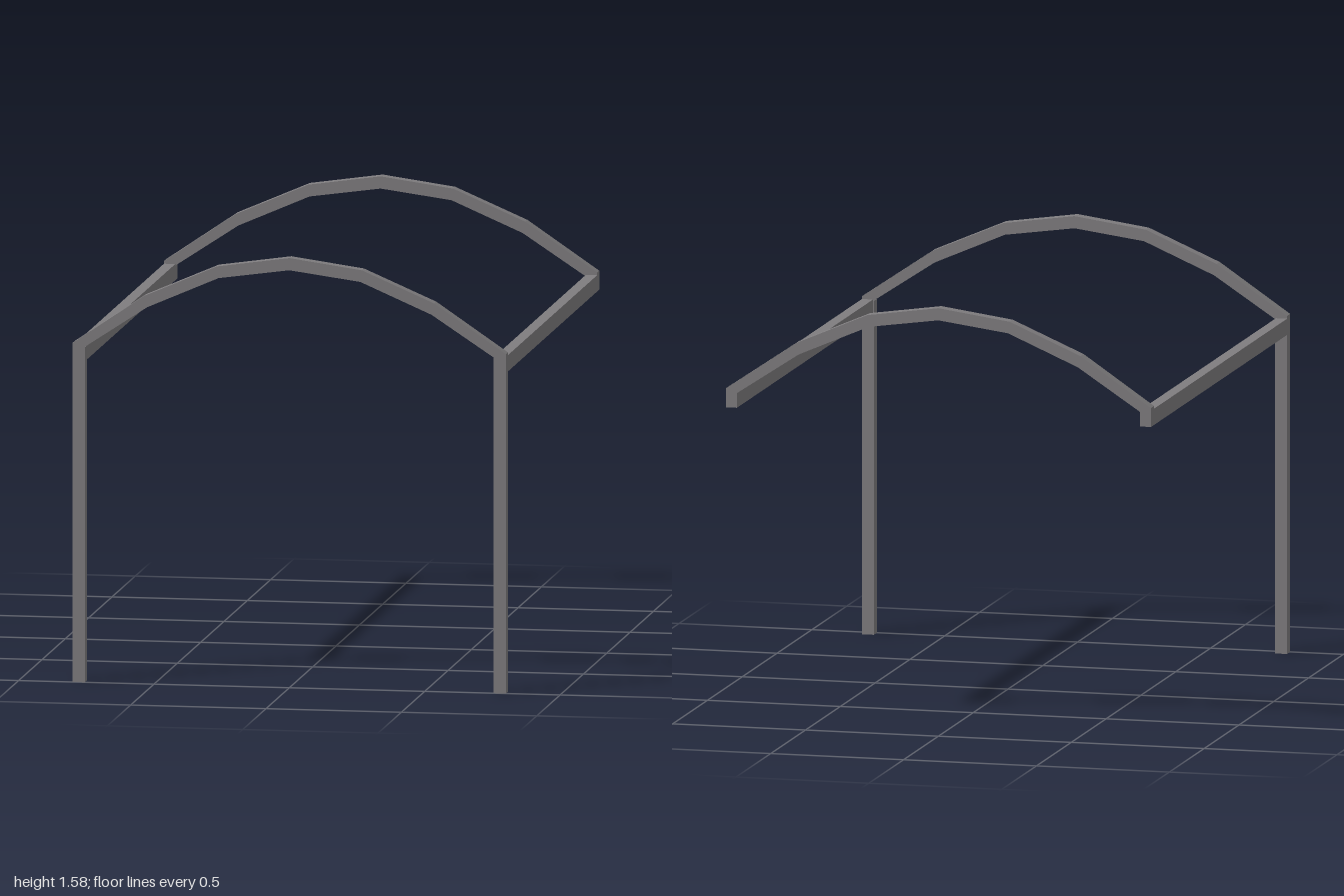
import * as THREE from 'three';

export function createModel() {
  const model = new THREE.Group();
  model.name = 'archedFrame';
  const metal = new THREE.MeshStandardMaterial({ color: 0x7f7d7f });
  metal.name = 'greyMetal';

  const T = 0.045; // bar thickness

  const add = (geometry, name, x, y, z) => {
    const mesh = new THREE.Mesh(geometry, metal);
    mesh.name = name;
    mesh.position.set(x, y, z);
    model.add(mesh);
  };

  // Faceted arch outline: outer edge left to right, inner edge back again
  const mirrored = (half) => [...half, ...half.slice(0, -1).reverse().map(([x, y]) => [-x, y])];
  const outer = mirrored([[-0.8, 1.25], [-0.535, 1.43], [-0.268, 1.545], [0, 1.583]]);
  const inner = mirrored([[-0.757, 1.235], [-0.525, 1.388], [-0.262, 1.502], [0, 1.538]]);
  const outline = [...outer, [0.8, 1.2], ...inner.reverse(), [-0.8, 1.2]];
  const archGeometry = new THREE.ExtrudeGeometry(
    new THREE.Shape(outline.map(([x, y]) => new THREE.Vector2(x, y))),
    { depth: T, bevelEnabled: false }
  );
  add(archGeometry, 'frontArch', 0, 0, 1 - T);
  add(archGeometry, 'backArch', 0, 0, -1);

  // Front posts and the side rails running back from them
  const postGeometry = new THREE.BoxGeometry(T, 1.235, T);
  const railGeometry = new THREE.BoxGeometry(T - 0.003, 0.06, 2 - T);
  for (const [side, s] of [['left', 1], ['right', -1]]) {
    add(postGeometry, side + 'Post', s * (0.8 - T / 2), 0.6175, 1 - T / 2);
    add(railGeometry, side + 'Rail', s * (0.8 - (T - 0.003) / 2), 1.21, -T / 2);
  }
  return model;
}
